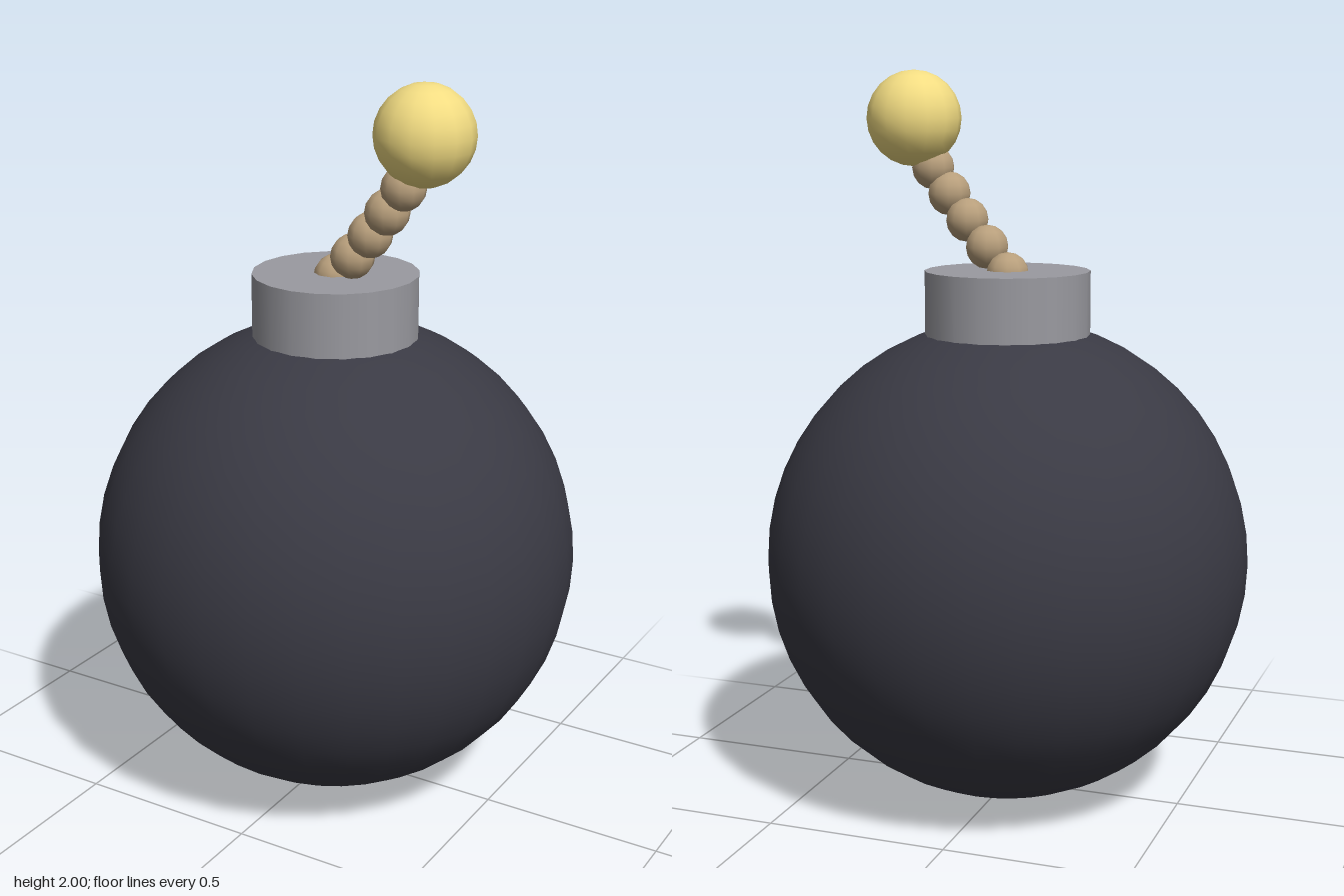
import * as THREE from 'three';

export function createModel() {
  const model = new THREE.Group();
  const paint = (color) => new THREE.MeshStandardMaterial({ color });
  const iron = paint(0x3a3a44), steel = paint(0x9a9aa0), cord = paint(0xb89f7c), glow = paint(0xf2dc82);

  const add = (name, geometry, material, x, y, z, parent = model) => {
    const mesh = new THREE.Mesh(geometry, material);
    mesh.name = name;
    mesh.position.set(x, y, z);
    parent.add(mesh);
    return mesh;
  };

  // Round body with a short collar sunk into its top
  add('body', new THREE.SphereGeometry(0.665, 32, 24), iron, 0, 0.668, 0);
  add('collar', new THREE.CylinderGeometry(0.225, 0.225, 0.2, 20), steel, 0, 1.366, 0);

  // Beaded fuse along a leaning, slightly curling curve
  const fuse = new THREE.Group();
  fuse.name = 'fuse';
  model.add(fuse);
  const path = [
    [0, 1.455, 0], [0.07, 1.525, 0.03], [0.137, 1.595, 0.055],
    [0.196, 1.665, 0.072], [0.247, 1.735, 0.08], [0.285, 1.805, 0.078],
  ];
  const bead = new THREE.SphereGeometry(0.06, 10, 8);
  path.forEach(([x, y, z], i) => add(`fuseBead${i + 1}`, bead, cord, x, y, z, fuse));

  // Glowing ball at the fuse tip
  add('spark', new THREE.SphereGeometry(0.131, 14, 12), glow, 0.296, 1.869, 0.064);

  return model;
}
